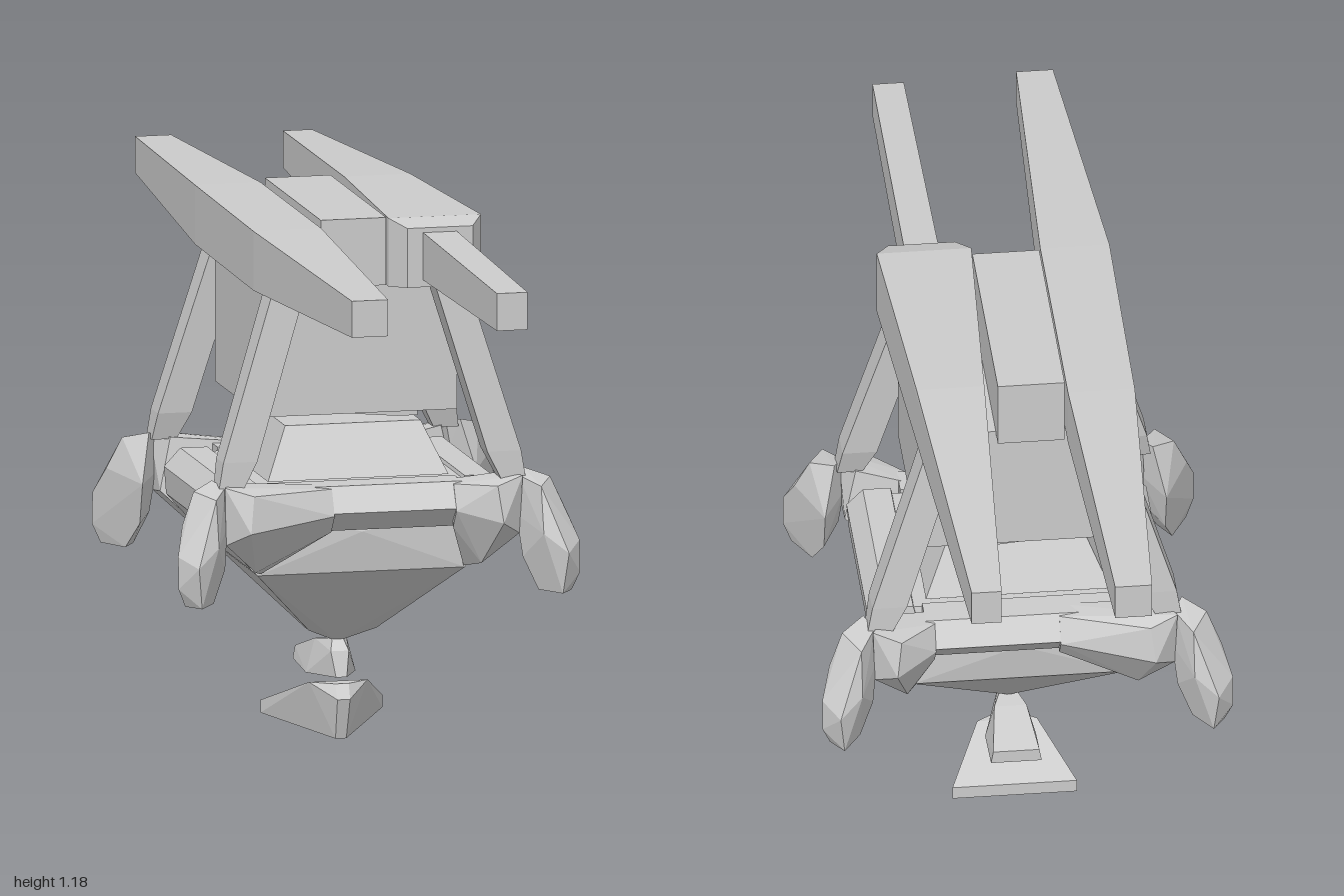
import * as THREE from 'three';
import { ConvexGeometry } from 'three/addons/geometries/ConvexGeometry.js';

const material = new THREE.MeshStandardMaterial({ color: 0xcccccc, flatShading: true });

export function createModel() {
  const model = new THREE.Group();
  const v = (p) => new THREE.Vector3(...p);

  // faceted solid wrapped around a few corner points
  function solid(name, points, sx = 1, sz = 1) {
    const pts = points.map(([x, y, z]) => v([x * sx, y, z * sz]));
    const mesh = new THREE.Mesh(new ConvexGeometry(pts), material);
    mesh.name = name;
    model.add(mesh);
  }
  // rectangle across z, and rectangle across y
  const rectZ = (z, x0, x1, y0, y1) => [[x0, y0, z], [x1, y0, z], [x1, y1, z], [x0, y1, z]];
  const rectY = (y, x0, x1, z0, z1) => [[x0, y, z0], [x1, y, z0], [x1, y, z1], [x0, y, z1]];

  // top beams
  solid('rightBeam', [
    ...rectZ(-1, -0.205, -0.125, 1.06, 1.14), ...rectZ(-0.28, -0.245, -0.1, 1.035, 1.165),
    ...rectZ(0.28, -0.25, -0.1, 1.035, 1.165), ...rectZ(1, -0.205, -0.125, 1.06, 1.14),
  ]);
  solid('leftBeam', [
    ...rectZ(-0.99, 0.12, 0.185, 1.06, 1.14), ...rectZ(-0.25, 0.078, 0.225, 1.04, 1.175),
    ...rectZ(0.275, 0.05, 0.255, 1.03, 1.18), ...rectZ(0.325, 0.08, 0.225, 1.035, 1.165),
  ]);
  solid('leftBeamBarrel', [
    ...rectZ(0.3, 0.115, 0.19, 1.05, 1.155), ...rectZ(0.985, 0.12, 0.188, 1.058, 1.14),
  ]);

  // central body
  solid('spine', rectZ(-0.26, -0.095, 0.05, 1.03, 1.178).concat(rectZ(0.255, -0.095, 0.05, 1.03, 1.178)));
  solid('body', [...rectY(0.745, -0.215, 0.215, -0.22, 0.22), ...rectY(1.035, -0.215, 0.215, -0.22, 0.22)]);
  solid('bodyUnderside', [
    ...rectY(0.75, -0.21, 0.145, -0.2, 0.15), ...rectZ(-0.2, 0.1, 0.145, 0.722, 0.75),
    ...rectZ(0.15, 0.1, 0.145, 0.722, 0.75),
  ]);
  solid('pedestal', [...rectY(0.6, -0.2, 0.2, -0.205, 0.205), ...rectY(0.712, -0.15, 0.15, -0.155, 0.155)]);
  solid('deck', [...rectY(0.55, -0.25, 0.25, -0.23, 0.23), ...rectY(0.592, -0.24, 0.24, -0.22, 0.22)]);

  // keel hull
  solid('hull', [
    ...rectY(0.55, -0.3, 0.3, -0.225, 0.225), ...rectY(0.49, -0.31, 0.31, -0.225, 0.225),
    ...rectY(0.4, -0.23, 0.23, -0.232, 0.232), [0, 0.49, 0.245], [0, 0.49, -0.245],
    [-0.065, 0.235, 0.02], [0.085, 0.235, 0.02], [-0.065, 0.235, -0.02], [0.085, 0.235, -0.02],
    [0, 0.207, 0.01], [0, 0.207, -0.01],
  ]);

  // side rails, front and back rails
  for (const s of [1, -1]) {
    solid('sideRail', [
      ...rectY(0.6, 0.23, 0.29, -0.23, 0.23), ...rectY(0.56, 0.22, 0.325, -0.235, 0.235),
      ...rectY(0.5, 0.24, 0.32, -0.235, 0.235), ...rectY(0.41, 0.21, 0.24, -0.23, 0.23),
    ], s);
    solid('crossRail', [
      ...rectY(0.6, -0.21, 0.21, 0.22, 0.29), ...rectY(0.545, -0.21, 0.21, 0.22, 0.32),
      ...rectY(0.5, -0.21, 0.21, 0.22, 0.275),
    ], 1, s);
  }

  // four corners: shoulder, pod and strut
  for (const sx of [1, -1]) for (const sz of [1, -1]) {
    const inner = sx < 0 ? 0.08 : 0.19;
    solid('shoulder', [
      [inner, 0.598, 0.25], [inner, 0.595, 0.295], [inner, 0.54, 0.322], [inner, 0.5, 0.29],
      [0.225, 0.405, 0.24], [0.25, 0.42, 0.3], [0.325, 0.49, 0.34], [0.325, 0.5, 0.27],
      [0.3, 0.615, 0.28], [0.33, 0.618, 0.35], [0.27, 0.6, 0.37], [0.28, 0.52, 0.385],
    ], sx, sz);
    solid('pod', [
      [0.325, 0.615, 0.33], [0.345, 0.625, 0.29], [0.395, 0.61, 0.33], [0.36, 0.6, 0.395],
      [0.32, 0.53, 0.33], [0.37, 0.52, 0.245], [0.425, 0.54, 0.35], [0.36, 0.5, 0.42],
      [0.445, 0.48, 0.395], [0.41, 0.46, 0.445], [0.33, 0.44, 0.35], [0.37, 0.43, 0.27],
      [0.445, 0.41, 0.4], [0.36, 0.37, 0.37], [0.39, 0.37, 0.32], [0.428, 0.37, 0.39], [0.4, 0.37, 0.43],
    ], sx, sz);
    solid('strut', [
      ...rectY(1.05, 0.14, 0.212, 0.24, 0.315), ...rectY(0.67, 0.255, 0.33, 0.268, 0.335),
      ...rectY(0.61, 0.285, 0.34, 0.285, 0.335),
    ], sx, sz);
  }

  // two-part tail foot under the keel
  const sides = (x, y, z) => [[x, y, z], [-x, y, z]];
  solid('upperFoot', [
    ...sides(0.012, 0.135, 0.05), ...sides(0.02, 0.19, 0.035), ...sides(0.012, 0.215, 0.015),
    ...sides(0.035, 0.205, -0.05), ...sides(0.05, 0.168, -0.17), ...sides(0.055, 0.14, -0.17),
    ...sides(0.055, 0.13, -0.05),
  ]);
  solid('lowerFoot', [
    ...sides(0.012, 0, 0.045), ...sides(0.014, 0.09, 0.072), ...sides(0.015, 0.122, 0.055),
    ...sides(0.065, 0.122, 0.02), ...sides(0.135, 0.058, -0.135), ...sides(0.135, 0.03, -0.135),
    ...sides(0.015, 0.004, 0.02),
  ]);

  return model;
}
